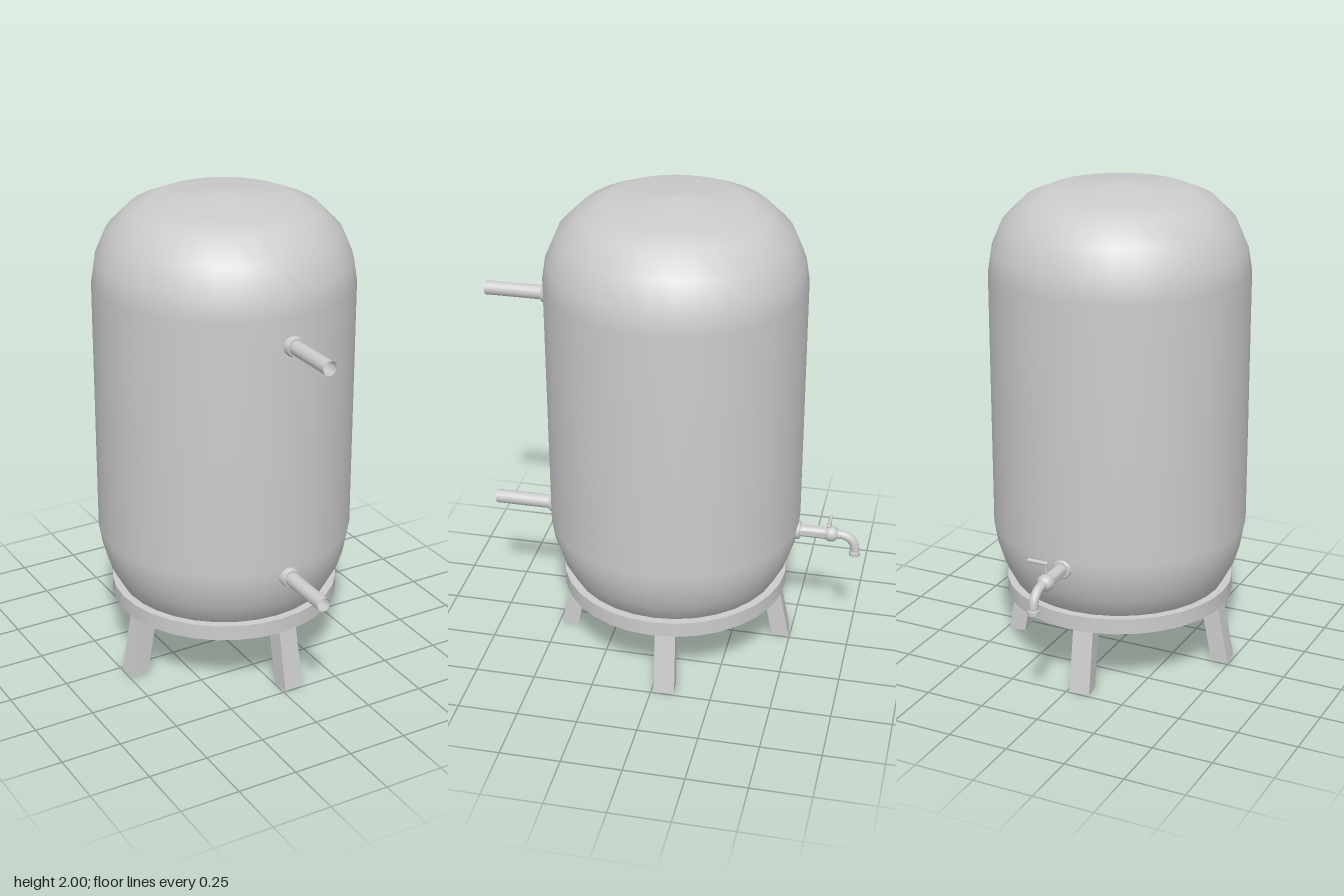
import * as THREE from 'three';
import { toCreasedNormals } from 'three/addons/utils/BufferGeometryUtils.js';

const material = new THREE.MeshStandardMaterial({ color: 0xcccccc });
const openMaterial = new THREE.MeshStandardMaterial({ color: 0xcccccc, side: THREE.DoubleSide });

function add(parent, name, geometry, mat = material) {
  const mesh = new THREE.Mesh(geometry, mat);
  mesh.name = name;
  parent.add(mesh);
  return mesh;
}

const lathe = (points, sides) =>
  new THREE.LatheGeometry(points.map(([r, y]) => new THREE.Vector2(r, y)), sides);

// Lathe profile of [radius, distance] laid along the +z axis
const latheZ = (points, sides) => toCreasedNormals(lathe(points, sides).rotateX(Math.PI / 2), 0.7);

export function createModel() {
  const model = new THREE.Group();
  model.name = 'waterTank';

  // Vessel with domed ends
  add(model, 'tank', lathe([
    [0, 0.215], [0.2, 0.225], [0.37, 0.27], [0.44, 0.335], [0.485, 0.42], [0.51, 0.5], [0.525, 0.59],
    [0.525, 1.65], [0.51, 1.745], [0.465, 1.85], [0.38, 1.935], [0.285, 1.975], [0, 2],
  ], 32));

  // Support ring
  add(model, 'supportRing', toCreasedNormals(lathe([
    [0.375, 0.27], [0.473, 0.27], [0.473, 0.335], [0.42, 0.335], [0.375, 0.27],
  ], 32), 0.6));

  // Four splayed legs, sheared so that the feet stay flat
  const legs = new THREE.Group();
  legs.name = 'legs';
  model.add(legs);
  for (let i = 0; i < 4; i++) {
    const g = new THREE.BoxGeometry(0.085, 0.3, 0.072).translate(0, 0.15, 0);
    const p = g.attributes.position;
    for (let k = 0; k < p.count; k++) p.setZ(k, p.getZ(k) + 0.458 - 0.19 * p.getY(k));
    g.computeVertexNormals();
    add(legs, 'leg', g).rotation.y = 0.11 + i * Math.PI / 2;
  }

  // Open pipes on the front, each with a collar at the tank wall
  for (const [name, y] of [['upperPipe', 1.54], ['lowerPipe', 0.555]]) {
    const pipe = new THREE.Group();
    pipe.name = name;
    pipe.position.y = y;
    model.add(pipe);
    add(pipe, 'pipeTube', new THREE.CylinderGeometry(0.029, 0.029, 0.27, 20, 1, true)
      .rotateX(Math.PI / 2).translate(0, 0, 0.648), openMaterial);
    add(pipe, 'pipeCollar', latheZ([
      [0.04, 0.5], [0.04, 0.54], [0.036, 0.548], [0.028, 0.548],
    ], 20));
  }

  // Tap on the back, built along +z and turned round
  const tap = new THREE.Group();
  tap.name = 'tap';
  tap.position.y = 0.555;
  tap.rotation.y = Math.PI;
  model.add(tap);
  add(tap, 'tapCollar', latheZ([[0.039, 0.5], [0.039, 0.527], [0.034, 0.533], [0.026, 0.533]], 20));
  add(tap, 'tapBody', latheZ([[0.026, 0.5], [0.026, 0.66]], 20));
  add(tap, 'tapValve', new THREE.SphereGeometry(0.034, 20, 14)).position.z = 0.66;

  // Spout bending down, with a lip at the mouth
  const path = new THREE.CurvePath();
  const v = (y, z) => new THREE.Vector3(0, y, z);
  path.add(new THREE.LineCurve3(v(0, 0.66), v(0, 0.7)));
  path.add(new THREE.CubicBezierCurve3(v(0, 0.7), v(0, 0.736), v(-0.028, 0.762), v(-0.065, 0.762)));
  path.add(new THREE.LineCurve3(v(-0.065, 0.762), v(-0.09, 0.762)));
  add(tap, 'spout', new THREE.TubeGeometry(path, 24, 0.019, 16), openMaterial);
  add(tap, 'spoutLip', toCreasedNormals(lathe([
    [0.015, -0.092], [0.023, -0.092], [0.023, -0.074], [0.019, -0.072],
  ], 16), 0.6), openMaterial).position.z = 0.762;

  // Stem and lever
  add(tap, 'stem', new THREE.CylinderGeometry(0.005, 0.005, 0.06, 10)).position.set(0, 0.05, 0.657);
  const lever = add(tap, 'lever', new THREE.CapsuleGeometry(0.008, 0.075, 4, 10));
  lever.rotation.z = Math.PI / 2;
  lever.position.set(-0.036, 0.08, 0.657);

  return model;
}
